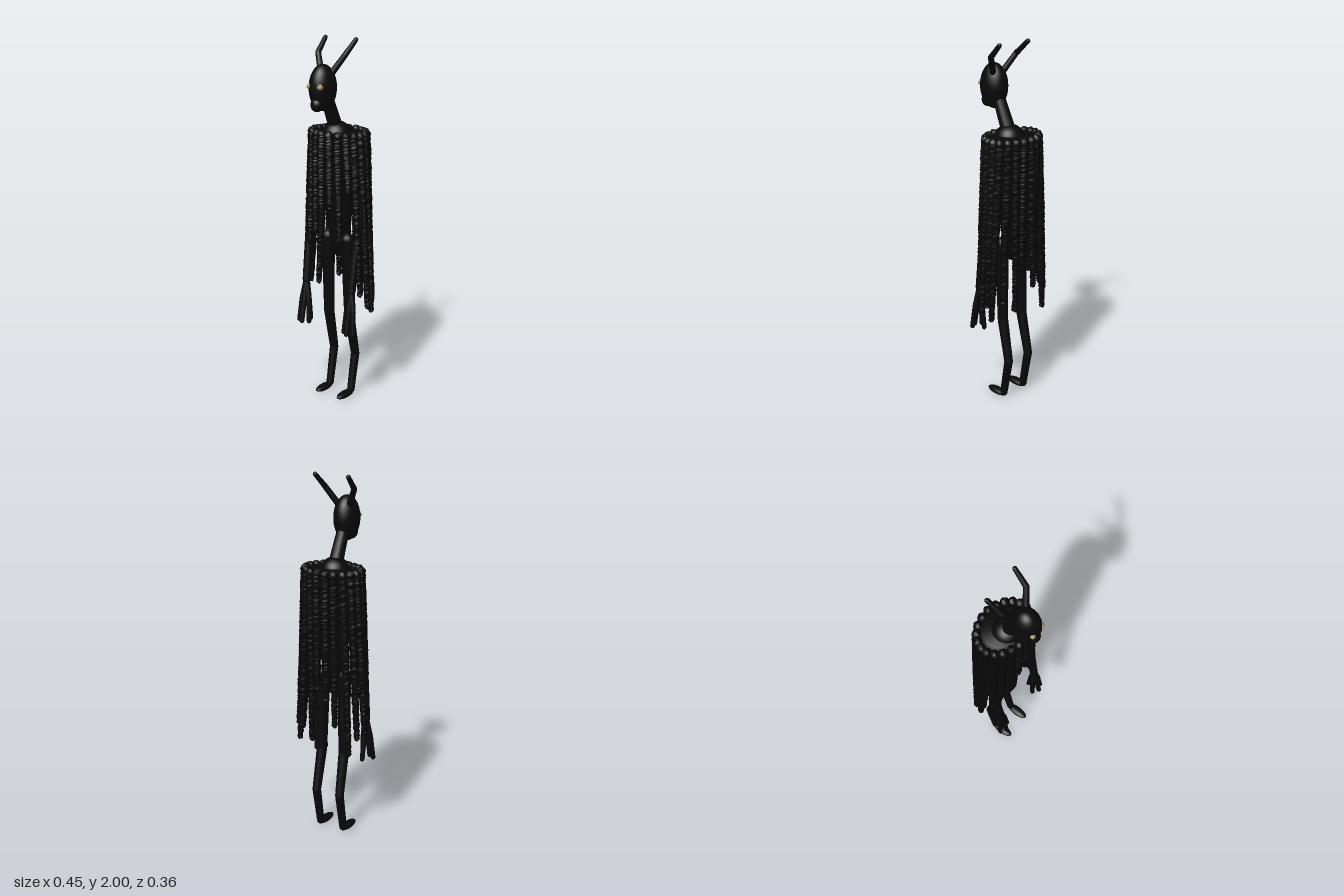
import * as THREE from 'three';
import { mergeGeometries } from 'three/addons/utils/BufferGeometryUtils.js';

const mat = (name, color) => {
  const m = new THREE.MeshStandardMaterial({ color });
  m.name = name;
  return m;
};
const V = (p) => new THREE.Vector3(...p);

// Move every vertex along its normal by a rule
function offset(geo, rule) {
  const p = geo.attributes.position, n = geo.attributes.normal;
  for (let i = 0; i < p.count; i++) {
    const d = rule(i);
    p.setXYZ(i, p.getX(i) + n.getX(i) * d, p.getY(i) + n.getY(i) * d, p.getZ(i) + n.getZ(i) * d);
  }
  return geo;
}

// Ragged surface: offset by a hash of the vertex position
function roughen(geo, amount) {
  const p = geo.attributes.position;
  offset(geo, (i) => {
    const [x, y, z] = [p.getX(i), p.getY(i), p.getZ(i)].map((c) => Math.round(c * 2000));
    const s = Math.sin(x * 12.9898 + y * 78.233 + z * 37.719) * 43758.5453;
    return (s - Math.floor(s) - 0.5) * 2 * amount;
  });
  geo.computeVertexNormals();
  return geo;
}

// Chain of tapered cylinders with round joints
function limb(points, radii) {
  const parts = [];
  points.forEach((a, i) => {
    parts.push(new THREE.SphereGeometry(radii[i], 14, 10).translate(...a));
    if (i === points.length - 1) return;
    const from = V(a), to = V(points[i + 1]), dir = to.clone().sub(from);
    const seg = new THREE.CylinderGeometry(radii[i + 1], radii[i], dir.length(), 14, 1, true);
    seg.applyQuaternion(new THREE.Quaternion().setFromUnitVectors(new THREE.Vector3(0, 1, 0), dir.clone().normalize()));
    const mid = from.add(to).multiplyScalar(0.5);
    parts.push(seg.translate(mid.x, mid.y, mid.z));
  });
  return mergeGeometries(parts);
}

// Shaggy strip with rounded ends, thinning towards the bottom
function strip(points, r, rEnd) {
  const tube = new THREE.TubeGeometry(new THREE.CatmullRomCurve3(points.map(V)), 130, r, 10);
  offset(tube, (i) => -(r - rEnd) * tube.attributes.uv.getX(i) ** 2);
  return roughen(mergeGeometries([
    tube,
    new THREE.SphereGeometry(r, 12, 8).translate(...points[0]),
    new THREE.SphereGeometry(rEnd, 10, 8).translate(...points[points.length - 1]),
  ]), 0.003);
}

export function createModel() {
  const skin = mat('charcoal skin', 0x090909);
  const cloak = mat('black cloak', 0x070707);
  const eye = mat('pale amber eyes', 0xb59a62);
  const model = new THREE.Group();
  const add = (name, geo, m, parent = model) => {
    const mesh = new THREE.Mesh(geo, m);
    mesh.name = name;
    parent.add(mesh);
    return mesh;
  };
  const ball = (sx, sy, sz, x, y, z) => new THREE.SphereGeometry(1, 32, 24).scale(sx, sy, sz).translate(x, y, z);

  // Head, muzzle and neck
  add('head', ball(0.067, 0.12, 0.08, 0, 1.75, 0.1), skin);
  add('muzzle', ball(0.034, 0.037, 0.032, 0, 1.668, 0.148), skin);
  add('neck', limb([[0, 1.68, 0.06], [0, 1.48, -0.03]], [0.033, 0.04]), skin);
  add('neckBase', ball(0.08, 0.075, 0.08, 0, 1.49, -0.015), skin);

  // Tapering torso
  const profile = [[0, 0.81], [0.03, 0.825], [0.052, 0.9], [0.066, 1.0], [0.1, 1.18], [0.13, 1.38], [0.145, 1.48], [0.12, 1.51], [0, 1.52]];
  add('torso', new THREE.LatheGeometry(profile.map((p) => new THREE.Vector2(...p)), 36)
    .scale(1, 1, 0.78).translate(0, 0, -0.035), skin);

  // Horns, eyes, arms and legs, mirrored
  for (const s of [1, -1]) {
    const side = s > 0 ? 'left' : 'right';
    const m = (pts) => pts.map(([x, y, z]) => [x * s, y, z]);

    add(side + 'Horn', limb(m([[0.033, 1.82, 0.072], [0.088, 1.915, 0.028], [0.099, 1.985, -0.046]]), [0.017, 0.015, 0.012]), skin);
    add(side + 'Eye', roughen(new THREE.SphereGeometry(0.015, 12, 10), 0.003)
      .translate(0.033 * s, 1.762, 0.163), eye);

    const arm = new THREE.Group();
    arm.name = side + 'Arm';
    model.add(arm);
    add('armLimb', limb(m([[0.135, 1.44, -0.02], [0.165, 1.05, 0], [0.155, 0.67, 0.055]]), [0.03, 0.026, 0.023]), skin, arm);
    for (const [x, z] of [[0.122, 0.078], [0.155, 0.1], [0.187, 0.083], [0.15, 0.028]]) {
      add('finger', limb(m([[0.155, 0.67, 0.055], [(0.155 + x * 2) / 3, 0.56, (0.055 + z) / 2], [x, 0.435, z]]),
        [0.017, 0.015, 0.013]), skin, arm);
    }

    const leg = new THREE.Group();
    leg.name = side + 'Leg';
    model.add(leg);
    add('legLimb', limb(m([[0.066, 0.92, -0.025], [0.071, 0.48, -0.038], [0.075, 0.24, -0.088], [0.075, 0.03, -0.05]]),
      [0.037, 0.029, 0.024, 0.021]), skin, leg);
    add('foot', ball(0.027, 0.018, 0.069, 0.075 * s, 0.02, 0.003), skin, leg);
  }

  // Cloak strips, listed from the back round to the front by their lower ends
  const ends = {
    1: [0.86, 0.56, 0.62, 0.52, 0.6, 0.56, 0.7, 1.2, 0.93, 1.1],
    '-1': [0.81, 0.66, 0.51, 0.6, 0.62, 0.73, 0.68, 0.88, 0.95, 1.1],
  };
  const cape = new THREE.Group();
  cape.name = 'cloak';
  model.add(cape);
  for (const s of [1, -1]) {
    ends[s].forEach((end, i) => {
      const a = THREE.MathUtils.degToRad(9 + 18 * i);
      const at = (y) => {
        const t = (1.5 - y) / 0.9;
        const flare = i === 1 ? 1 : 1 + 0.36 * t;
        const sway = Math.sin(i * 2.3 + s) * 0.01 * t;
        return [s * 0.154 * flare * Math.sin(a), y,
          -0.035 - 0.117 * (1 - 0.04 * t) * Math.cos(a) + sway];
      };
      add('cloakStrip', strip([at(1.498), at((1.5 + end) / 2), at(end + 0.012)], 0.024, 0.015), cloak, cape);
    });
  }
  return model;
}
